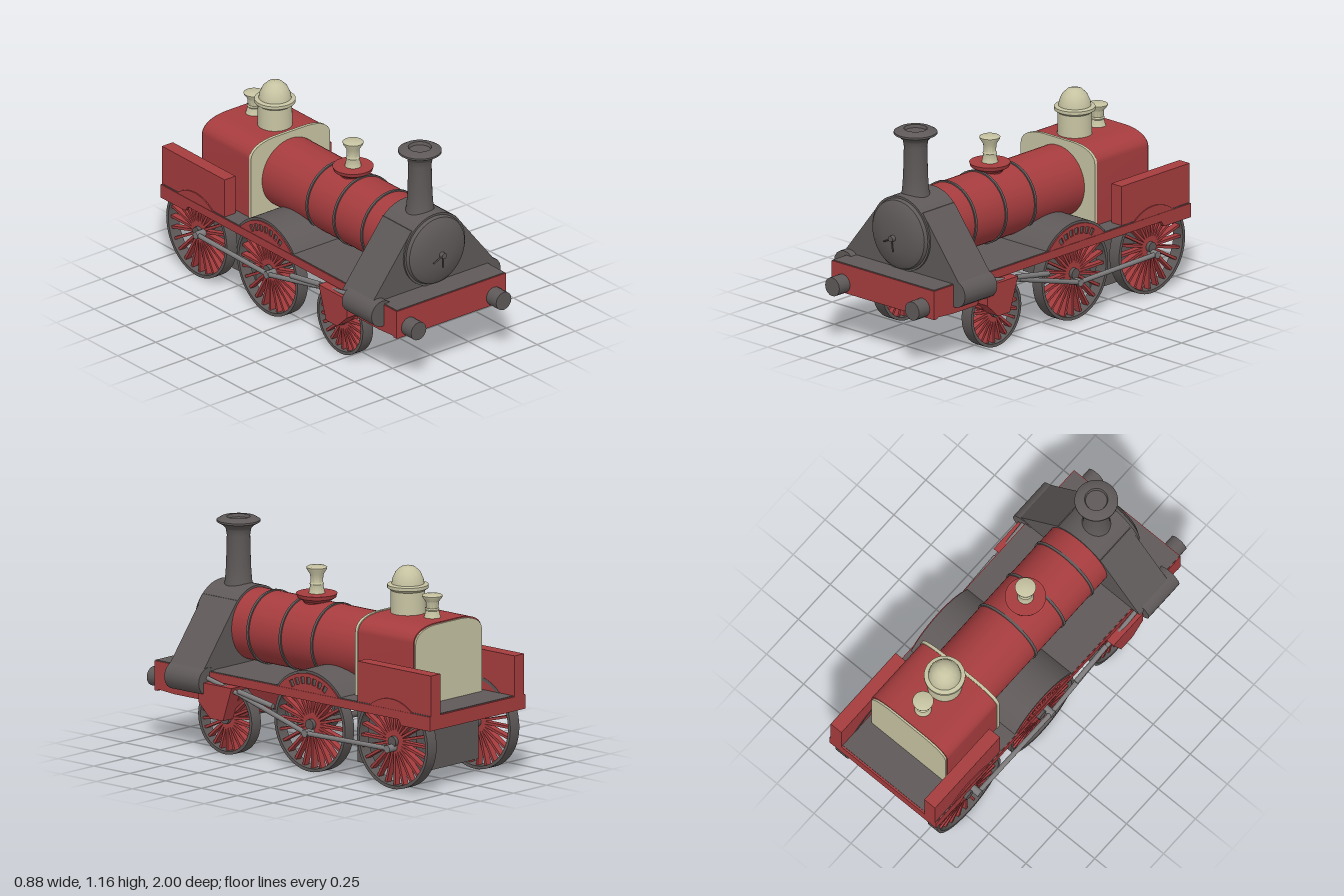
import * as THREE from 'three';
import { toCreasedNormals } from 'three/addons/utils/BufferGeometryUtils.js';

const mat = (name, color) => {
  const m = new THREE.MeshStandardMaterial({ color });
  m.name = name;
  return m;
};

export function createModel() {
  const red = mat('red paint', 0xa63c3e);
  const grey = mat('dark iron', 0x5f5959);
  const cream = mat('cream paint', 0xc6c3a2);
  const steel = mat('steel', 0x7d7b7b);
  const root = new THREE.Group();
  root.name = 'steamLocomotive';

  const add = (name, geo, material, parent = root) => {
    const m = new THREE.Mesh(geo, material);
    m.name = name;
    parent.add(m);
    return m;
  };
  const crease = (g) => toCreasedNormals(g, 0.6);
  // Box given by its extents
  const box = (name, x0, x1, y0, y1, z0, z1, material) =>
    add(name, new THREE.BoxGeometry(x1 - x0, y1 - y0, z1 - z0)
      .translate((x0 + x1) / 2, (y0 + y1) / 2, (z0 + z1) / 2), material);
  const poly = (pts) => new THREE.Shape(pts.map(([a, b]) => new THREE.Vector2(a, b)));
  const prism = (shape, depth) =>
    new THREE.ExtrudeGeometry(shape, { depth, bevelEnabled: false, curveSegments: 32 });
  // Prism along z from a front outline (x, y)
  const alongZ = (shape, z0, z1) => crease(prism(shape, z1 - z0)).translate(0, 0, z0);
  // Prism along x from a side outline (z, y)
  const alongX = (shape, x0, x1) =>
    crease(prism(shape, x1 - x0).rotateY(-Math.PI / 2)).translate(x1, 0, 0);
  const lathe = (pts, seg = 40) =>
    crease(new THREE.LatheGeometry(pts.map(([r, y]) => new THREE.Vector2(r, y)), seg));
  const rod = (name, a, b, r, material) => {
    const p = new THREE.Vector3(...a), d = new THREE.Vector3(...b).sub(p);
    const m = add(name, new THREE.CylinderGeometry(r, r, d.length(), 16), material);
    m.position.copy(p).addScaledVector(d, 0.5);
    m.quaternion.setFromUnitVectors(new THREE.Vector3(0, 1, 0), d.normalize());
    return m;
  };
  const barrel = (name, r, z0, z1, y, material) => {
    const m = add(name, new THREE.CylinderGeometry(r, r, z1 - z0, 48).rotateX(Math.PI / 2), material);
    m.position.set(0, y, (z0 + z1) / 2);
    return m;
  };
  const BY = 0.615;

  // Frame and deck
  box('deck', -0.355, 0.355, 0.395, 0.424, -0.99, 0.915, grey);
  box('frontPan', -0.34, 0.34, 0.272, 0.4, 0.6, 0.9, grey);
  box('bufferBeam', -0.36, 0.36, 0.265, 0.42, 0.895, 0.92, red);
  box('rearBeam', -0.36, 0.36, 0.345, 0.42, -1, -0.975, red);
  const plate = poly([[0.92, 0.42], [0.92, 0.275], [0.78, 0.265], [0.6, 0.265], [0.52, 0.375],
    [-0.78, 0.375], [-0.8, 0.345], [-1, 0.345], [-1, 0.42]]);
  add('frontAxleGuard', alongX(poly([[0.57, 0.37], [0.57, 0.265], [0.49, 0.19], [0.4, 0.19],
    [0.34, 0.37]]), -0.405, 0.405), red);

  // Boiler with bands
  barrel('boiler', 0.188, -0.4, 0.55, BY, red);
  for (const z of [0.425, 0.2, -0.02]) barrel('boilerBand', 0.195, z - 0.007, z + 0.007, BY, grey);

  // Smokebox, door and saddle
  barrel('smokebox', 0.2, 0.54, 0.785, BY, grey);
  const door = add('smokeboxDoor', lathe([[0.19, 0], [0.182, 0.022], [0.15, 0.042], [0.08, 0.055],
    [0, 0.06]], 48).rotateX(Math.PI / 2), grey);
  door.position.set(0, BY, 0.782);
  rod('doorKnob', [0, 0.605, 0.83], [0, 0.605, 0.865], 0.016, grey);
  rod('doorHandle', [0, 0.605, 0.855], [-0.06, 0.575, 0.85], 0.004, grey);
  rod('doorHandle', [0, 0.605, 0.855], [0.004, 0.535, 0.85], 0.004, grey);
  add('smokeboxSaddle', alongZ(poly([[-0.41, 0.42], [0.41, 0.42], [0.145, 0.757], [-0.145, 0.757]]),
    0.54, 0.775), grey);

  // Chimney
  add('chimney', lathe([[0.085, 0.77], [0.07, 0.82], [0.064, 0.9], [0.06, 1.06], [0.066, 1.095],
    [0.085, 1.115], [0.112, 1.13], [0.112, 1.14], [0.09, 1.153], [0.06, 1.156], [0.055, 1.14],
    [0, 1.14]]), grey).position.set(-0.005, 0, 0.67);

  // Firebox with cream end plates
  const fireboxShape = (w, top) => {
    const s = new THREE.Shape();
    s.moveTo(-w, 0.42);
    s.lineTo(w, 0.42);
    s.lineTo(w, top - 0.085);
    s.bezierCurveTo(w, top - 0.03, w - 0.07, top, w - 0.17, top);
    s.lineTo(-w + 0.17, top);
    s.bezierCurveTo(-w + 0.07, top, -w, top - 0.03, -w, top - 0.085);
    return s;
  };
  add('firebox', alongZ(fireboxShape(0.256, 0.838), -0.79, -0.405), red);
  add('fireboxFrontPlate', alongZ(fireboxShape(0.26, 0.842), -0.405, -0.388), cream);
  add('fireboxBackPlate', alongZ(fireboxShape(0.25, 0.832), -0.8, -0.79), cream);
  box('ashpan', -0.235, 0.235, 0.07, 0.4, -0.79, -0.38, grey);

  // Dome, whistle and safety valve
  add('dome', lathe([[0.09, 0.82], [0.088, 0.955], [0.106, 0.968], [0.106, 0.985], [0.084, 0.99],
    [0.08, 1.015], [0.064, 1.05], [0.038, 1.075], [0, 1.086]]), cream).position.z = -0.515;
  const valve = (name, y, z, h) => {
    const m = add(name, lathe([[0.045, -0.02], [0.042, 0.02], [0.034, 0.3], [0.037, 0.36],
      [0.032, 0.42], [0.034, 0.7], [0.052, 0.9], [0.054, 0.97], [0.047, 1], [0, 1]]
      .map(([r, t]) => [r, t * h])), cream);
    m.position.set(0, y, z);
  };
  valve('whistle', 0.838, -0.685, 0.118);
  valve('safetyValve', 0.838, 0.12, 0.142);
  add('valveSeat', lathe([[0.06, 0.77], [0.07, 0.8], [0.1, 0.82], [0.106, 0.84], [0, 0.842]]), red)
    .position.z = 0.12;

  // Circle segment above the deck, as a side outline
  const segment = (cz, cy, r) => {
    const a = Math.asin((0.42 - cy) / r), s = new THREE.Shape();
    s.absarc(cz, cy, r, a, Math.PI - a, false);
    return s;
  };
  const MZ = -0.15, WY = 0.247;
  add('middleSplasher', alongX(segment(MZ, WY, 0.283), -0.35, 0.35), grey);
  // Pierced face of the middle splasher
  const arch = segment(MZ, WY, 0.27);
  for (let i = 0; i < 9; i++) {
    const a = Math.PI / 2 + (i - 4) * 0.17, at = (r, da) =>
      new THREE.Vector2(MZ + r * Math.cos(a + da), WY + r * Math.sin(a + da));
    if (Math.sin(a) * 0.215 < 0.185) continue;
    arch.holes.push(new THREE.Path([at(0.215, -0.05), at(0.25, -0.05), at(0.25, 0.05), at(0.215, 0.05)]));
  }

  // Spoked wheel with its axis along x
  const wheel = (name, side, r, z, spokes) => {
    const g = new THREE.Group();
    g.name = name;
    const t = r - 0.017, w = 0.034;
    add('tyre', lathe([[t, -w], [r, -w], [r, w], [t, w], [t, -w]], 56).rotateZ(Math.PI / 2), grey, g);
    add('hub', new THREE.CylinderGeometry(0.028, 0.028, 0.076, 20).rotateZ(Math.PI / 2), grey, g);
    for (let i = 0; i < spokes; i++)
      add('spoke', new THREE.BoxGeometry(0.035, t - 0.015, 0.014)
        .translate(0, (t + 0.02) / 2, 0).rotateX((i / spokes) * Math.PI * 2), red, g);
    g.position.set(side * 0.312, r, z);
    root.add(g);
  };
  const axles = [['front', 0.187, 0.44, 22], ['middle', 0.247, MZ, 24], ['rear', 0.247, -0.725, 24]];
  for (const [n, r, z] of axles) rod(n + 'Axle', [-0.35, r, z], [0.35, r, z], 0.017, grey);

  for (const s of [-1, 1]) {
    const ext = (a, b) => (s > 0 ? [a, b] : [-b, -a]);
    for (const [n, r, z, k] of axles) wheel(n + 'Wheel', s, r, z, k);
    add('framePlate', alongX(plate, ...ext(0.34, 0.36)), red);
    add('splasherFace', alongX(arch, ...ext(0.349, 0.357)), red);
    box('sidePanel', ...ext(0.28, 0.352), 0.42, 0.635, -1, -0.49, red);
    add('rearSplasherFace', alongX(segment(-0.725, WY, 0.227), ...ext(0.35, 0.358)), red);
    rod('buffer', [s * 0.28, 0.315, 0.9], [s * 0.28, 0.315, 1], 0.05, grey);

    // Cylinder, rods and quartered crank pins
    const dz = s > 0 ? 0 : 0.04, x = s * 0.373;
    rod('steamCylinder', [s * 0.37, 0.372, 0.535 + dz], [s * 0.37, 0.372, 0.775 + dz], 0.072, grey);
    const pz = s > 0 ? 0 : 0.04, py = s > 0 ? 0.207 : 0.247;
    const mid = [x, py, MZ + pz], rear = [x, py + 0.008, -0.725 + pz];
    rod('pistonRod', [x, 0.395, 0.56 + dz], [x, 0.335, 0.3], 0.012, steel);
    rod('connectingRod', [x, 0.335, 0.3], mid, 0.013, steel);
    rod('slideBar', [x, 0.352, 0.32], [x, 0.312, 0.08], 0.014, steel);
    rod('couplingRod', mid, rear, 0.013, steel);
    for (const p of [mid, rear])
      rod('crankPin', [s * 0.33, p[1], p[2]], [s * 0.388, p[1], p[2]], 0.02, steel);
  }
  return root;
}
